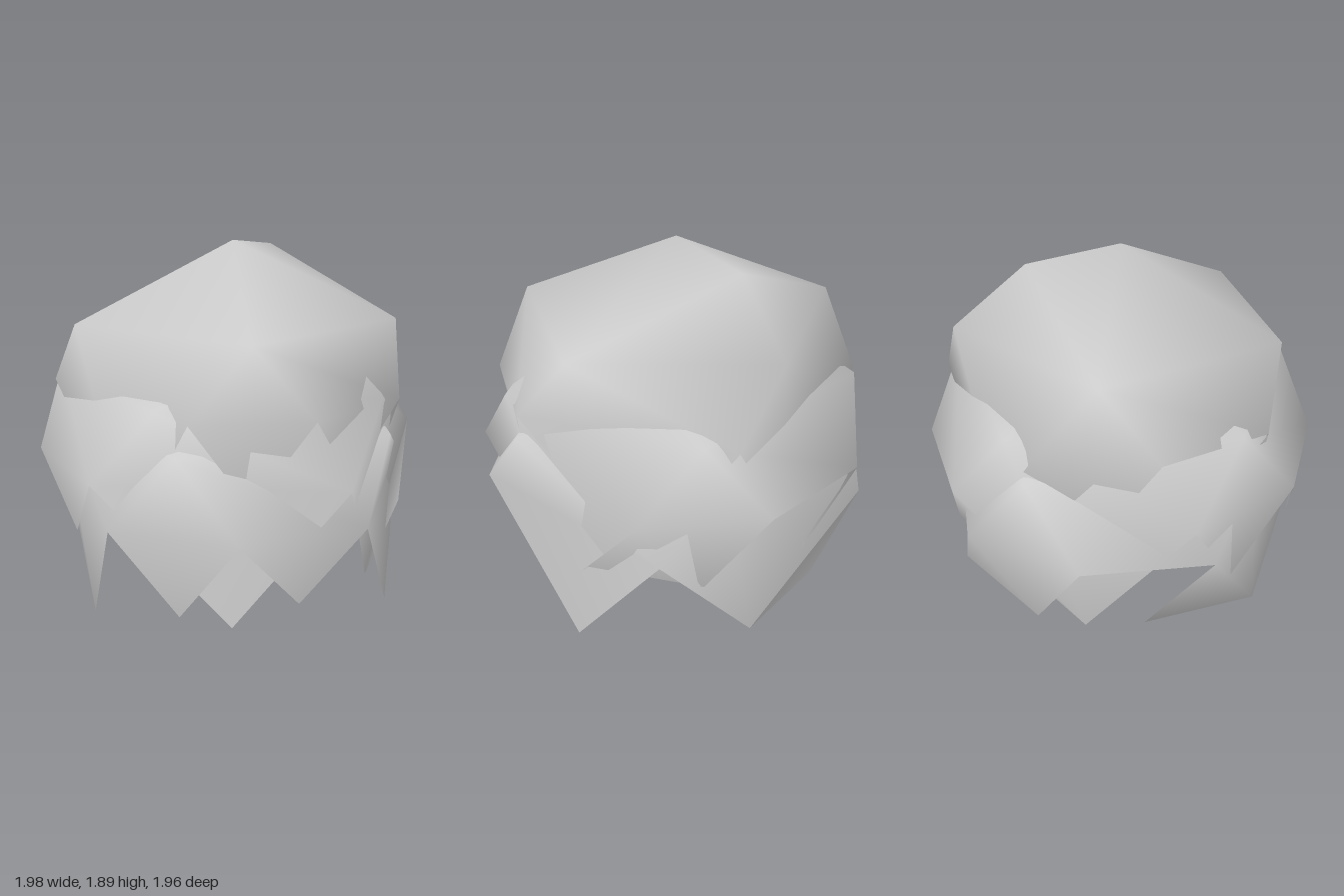
import * as THREE from 'three';

const material = new THREE.MeshStandardMaterial({ color: 0xcccccc, side: THREE.DoubleSide });

// Rim corners 1, 5 and 9 hang down as long points: [angle in degrees, radius, drop]
const LONG_POINTS = { 1: [32, 0.84, 0.68], 5: [176, 0.79, 0.68], 9: [325, 0.75, 0.68] };

// Faceted dome with a ragged hem, rim at local y = 0
function shellGeometry(radius, shoulder, height) {
  const pos = [], index = [];
  const add = (deg, r, y) => {
    const a = THREE.MathUtils.degToRad(deg);
    pos.push(Math.cos(a) * r * radius, y, Math.sin(a) * r * radius);
    return pos.length / 3 - 1;
  };
  const tri = (...v) => index.push(...v);

  const apex = add(0, 0, height);
  const rim = [], upper = [];
  for (let i = 0; i < 10; i++) {
    const [deg, r, drop] = LONG_POINTS[i] ?? [i * 36, 1, 0];
    rim.push(add(deg, r, -drop));
  }
  for (let j = 0; j < 5; j++) upper.push(add(54 + j * 72, 0.9, shoulder));
  const bump = add(338, 0.51, height * 0.913);

  // Dome in five sectors, each around an odd rim corner
  for (let j = 0; j < 5; j++) {
    const u = upper[(j + 4) % 5], v = upper[j];
    const a = rim[2 * j], b = rim[2 * j + 1], c = rim[(2 * j + 2) % 10];
    tri(a, u, v);
    // The first sector is creased inwards above its long point
    if (j === 0) tri(c, a, v, a, c, b);
    else tri(b, a, v, c, b, v);
    // Crown, with a bump above the last shoulder corner
    if (j === 0) tri(v, u, bump, v, bump, apex);
    else if (j === 4) tri(v, u, bump, bump, u, apex);
    else tri(v, u, apex);
  }

  // Short points of the hem; the hem stays open between rim corners 6 and 7
  const backPoint = add(269, 0.87, -0.42);
  const sidePoint = add(306, 0.89, -0.36);
  tri(rim[2], rim[3], add(90, 0.9, -0.35));
  tri(rim[3], rim[4], add(126, 0.88, -0.42));
  tri(rim[6], add(234, 0.89, -0.36), rim[5]);
  tri(rim[7], rim[8], backPoint);
  tri(rim[8], sidePoint, backPoint);
  tri(rim[8], rim[9], sidePoint);

  const geometry = new THREE.BufferGeometry();
  geometry.setAttribute('position', new THREE.Float32BufferAttribute(pos, 3));
  geometry.setIndex(index);
  geometry.computeVertexNormals();
  return geometry;
}

export function createModel() {
  const group = new THREE.Group();
  group.name = 'layeredShell';
  // Three overlapping layers, each turned differently: name, rim height, radius, shoulder, height, turn
  const layers = [
    ['topLayer', 1.2, 0.91, 0.33, 0.69, -18],
    ['middleLayer', 0.88, 1, 0.36, 0.74, 82],
    ['bottomLayer', 0.68, 1, 0.36, 0.74, 4],
  ];
  for (const [name, y, radius, shoulder, height, turn] of layers) {
    const mesh = new THREE.Mesh(shellGeometry(radius, shoulder, height), material);
    mesh.name = name;
    mesh.position.set(-0.01, y, -0.01);
    mesh.rotation.y = -THREE.MathUtils.degToRad(turn);
    group.add(mesh);
  }
  return group;
}
